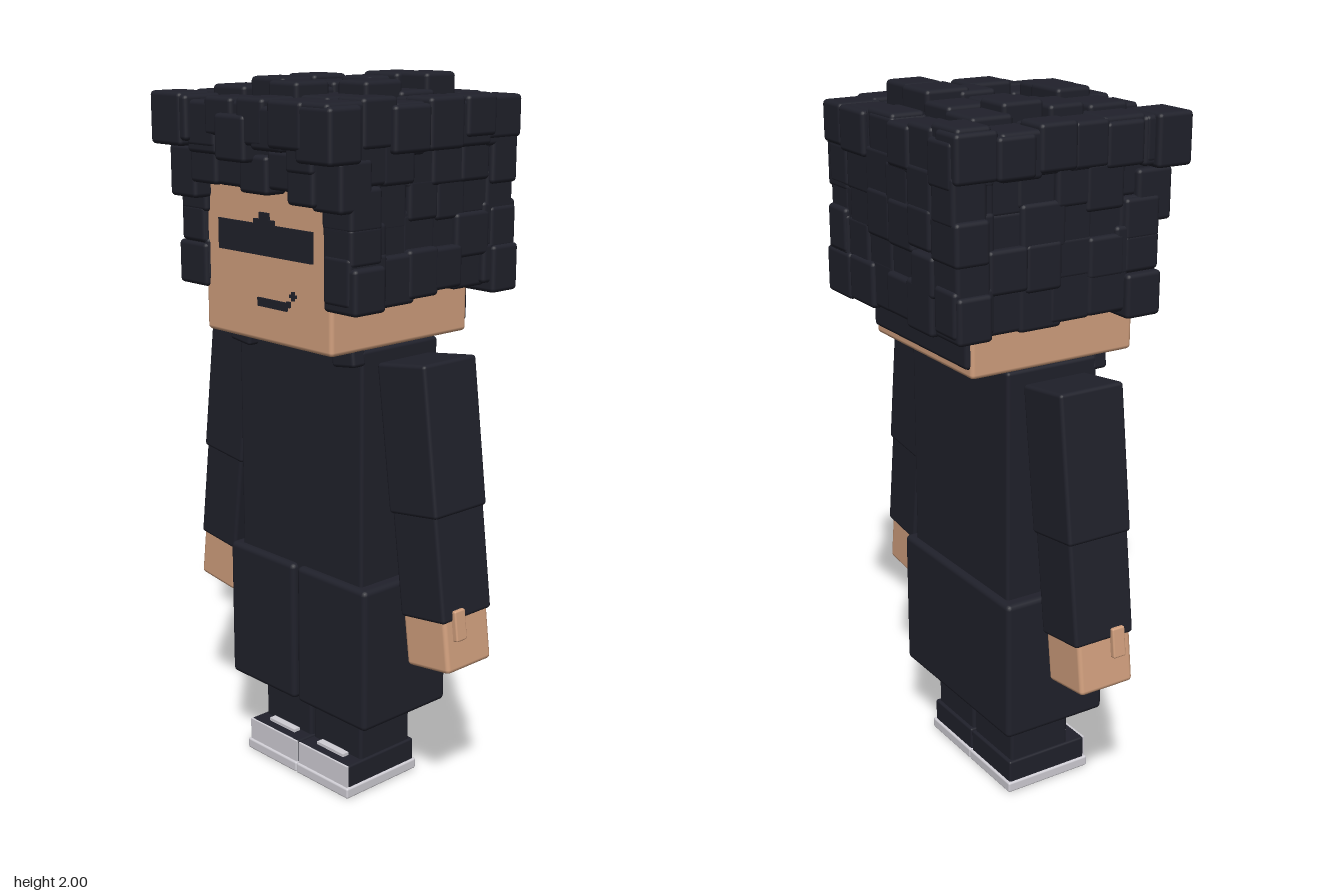
import * as THREE from 'three';
import { RoundedBoxGeometry } from 'three/addons/geometries/RoundedBoxGeometry.js';

const material = (name, color) => {
  const m = new THREE.MeshStandardMaterial({ color });
  m.name = name;
  return m;
};

export function createModel() {
  const model = new THREE.Group();
  model.name = 'blockFigure';
  const charcoal = material('charcoal', 0x20212b);
  const skin = material('skin', 0xd2a07e);
  const white = material('offWhite', 0xd0ced5);

  // Rounded box given by its low and high corners
  function block(parent, name, mat, [x0, y0, z0], [x1, y1, z1], r = 0.01) {
    const w = x1 - x0, h = y1 - y0, d = z1 - z0;
    const geo = r > 0 ? new RoundedBoxGeometry(w, h, d, 2, r) : new THREE.BoxGeometry(w, h, d);
    const mesh = new THREE.Mesh(geo, mat);
    mesh.name = name;
    mesh.position.set((x0 + x1) / 2, (y0 + y1) / 2, (z0 + z1) / 2);
    parent.add(mesh);
    return mesh;
  }
  const group = (name) => {
    const g = new THREE.Group();
    g.name = name;
    model.add(g);
    return g;
  };

  // Body and long coat, slit at the front
  block(model, 'torso', charcoal, [-0.25, 0.62, -0.14], [0.25, 1.3, 0.145]);
  block(model, 'coatBack', charcoal, [-0.285, 0.23, -0.16], [0.285, 0.645, 0.02], 0.015);

  for (const s of [1, -1]) {
    const side = s > 0 ? 'left' : 'right';
    const span = (a, b) => (s > 0 ? [a, b] : [-b, -a]);
    const mirrored = (parent, name, mat, [a, y0, z0], [b, y1, z1], r) => {
      const [x0, x1] = span(a, b);
      return block(parent, name, mat, [x0, y0, z0], [x1, y1, z1], r);
    };
    mirrored(model, side + 'CoatFront', charcoal, [0.006, 0.23, -0.02], [0.285, 0.645, 0.165], 0.015);
    const collar = mirrored(model, side + 'Collar', charcoal, [0.165, 1.255, 0.13], [0.25, 1.31, 0.178]);
    collar.rotation.z = s * 0.12;

    // Leg and shoe
    const leg = group(side + 'Leg');
    mirrored(leg, 'trouser', charcoal, [0.005, 0.08, -0.095], [0.205, 0.28, 0.1]);
    mirrored(leg, 'shoe', charcoal, [0.002, 0.025, -0.105], [0.212, 0.097, 0.155], 0.006);
    mirrored(leg, 'shoeFront', white, [0.004, 0.03, 0.152], [0.21, 0.096, 0.159], 0);
    mirrored(leg, 'lace', white, [0.05, 0.097, 0.105], [0.16, 0.106, 0.127], 0);
    mirrored(leg, 'sole', white, [0, 0, -0.112], [0.218, 0.032, 0.165], 0.006);

    // Arm, swung outwards from the shoulder
    const arm = group(side + 'Arm');
    arm.position.set(s * 0.343, 1.275, 0);
    arm.rotation.z = s * 0.127;
    mirrored(arm, 'upperArm', charcoal, [-0.087, -0.405, -0.098], [0.087, 0, 0.1]);
    mirrored(arm, 'forearm', charcoal, [-0.079, -0.69, -0.093], [0.081, -0.395, 0.095]);
    mirrored(arm, 'hand', skin, [-0.077, -0.83, -0.082], [0.077, -0.67, 0.088], 0.012);
    mirrored(arm, 'thumb', skin, [0.06, -0.745, 0.02], [0.092, -0.66, 0.06], 0.005);
  }

  // Head and face
  block(model, 'head', skin, [-0.253, 1.3, -0.25], [0.253, 1.82, 0.256], 0.012);
  const face = group('face');
  const plate = (name, x0, y0, x1, y1) =>
    block(face, name, charcoal, [x0, y0, 0.255], [x1, y1, 0.262], 0);
  plate('glasses', -0.188, 1.533, 0.186, 1.615);
  plate('glassesStep', -0.042, 1.615, 0.038, 1.628);
  plate('glassesPeak', -0.02, 1.628, 0.018, 1.646);
  plate('mouth', -0.03, 1.397, 0.086, 1.42);
  plate('mouthCorner', 0.086, 1.408, 0.098, 1.424);
  plate('moleAcross', 0.098, 1.436, 0.122, 1.444);
  plate('moleUp', 0.106, 1.428, 0.114, 1.452);

  // Hair core
  const hair = group('hair');
  const lock = (lo, hi, r = 0.012) => block(hair, 'hairBlock', charcoal, lo, hi, r);
  lock([-0.31, 1.73, -0.32], [0.31, 1.92, 0.295]);
  lock([-0.31, 1.45, -0.32], [0.31, 1.75, -0.24]);
  lock([-0.245, 1.325, -0.262], [0.245, 1.47, -0.2]);
  for (const s of [1, -1]) {
    lock([s * 0.275 - 0.035, 1.46, -0.3], [s * 0.275 + 0.035, 1.75, 0.2]);
  }

  // Seeded scatter of curls over each face of the hair
  let seed = 7;
  const rand = () => (seed = (seed * 16807) % 2147483647) / 2147483647;
  const jit = (a) => (rand() * 2 - 1) * a;
  const grid = (nu, nv, fn) => {
    for (let i = 0; i < nu; i++) for (let j = 0; j < nv; j++) fn(i / (nu - 1), j / (nv - 1));
  };
  const curl = (cx, cy, cz, w, h, d) =>
    lock([cx - w / 2, cy - h / 2, cz - d / 2], [cx + w / 2, cy + h / 2, cz + d / 2]);
  const size = () => 0.105 + rand() * 0.03;

  // Crown
  grid(6, 6, (u, v) => {
    const edge = u % 1 === 0 || v % 1 === 0;
    const top = edge ? 1.935 + jit(0.012) : 1.97 + jit(0.028);
    curl(-0.28 + u * 0.56 + jit(0.015), top - 0.06, -0.28 + v * 0.56 + jit(0.015), size(), 0.12, size());
  });
  // Back
  grid(6, 5, (u, v) => {
    const out = -0.342 + jit(0.01);
    curl(-0.28 + u * 0.56 + jit(0.012), 1.485 + v * 0.395 + jit(0.01), out + 0.05, size(), size(), 0.1);
  });
  // Sides
  for (const s of [1, -1]) {
    grid(6, 5, (u, v) => {
      const out = (v === 1 ? 0.347 : 0.328) + jit(0.012);
      const z = -0.285 + u * (v > 0.8 ? 0.56 : 0.485);
      curl(s * (out - 0.05), 1.495 + v * 0.385 + jit(0.012), z + jit(0.01), 0.1, size(), size());
    });
    // Locks framing the face
    const frame = [[0.295, 1.48, 0.12], [0.29, 1.59, 0.1], [0.285, 1.68, 0.11]];
    frame.forEach(([x, y, w]) => curl(s * x, y, 0.215, w, w, 0.11));
  }

  // Fringe: a jutting upper row over a shorter lower row [x, y, width, height, front]
  const fringe = [
    [-0.295, 1.875, 0.13, 0.14, 0.352], [-0.17, 1.85, 0.12, 0.12, 0.33],
    [-0.03, 1.84, 0.12, 0.12, 0.352], [0.105, 1.87, 0.12, 0.11, 0.345],
    [0.205, 1.83, 0.1, 0.13, 0.325], [0.285, 1.865, 0.13, 0.14, 0.35],
    [-0.095, 1.89, 0.11, 0.1, 0.335], [0.03, 1.885, 0.11, 0.1, 0.33],
    [-0.28, 1.735, 0.11, 0.14, 0.31], [-0.18, 1.765, 0.11, 0.11, 0.318],
    [-0.08, 1.76, 0.11, 0.1, 0.305], [0.025, 1.75, 0.11, 0.1, 0.32],
    [0.125, 1.765, 0.11, 0.1, 0.31], [0.205, 1.745, 0.1, 0.12, 0.32],
    [0.285, 1.74, 0.11, 0.13, 0.305],
  ];
  for (const [x, y, w, h, front] of fringe) curl(x, y, front - 0.055, w, h, 0.11);

  return model;
}
